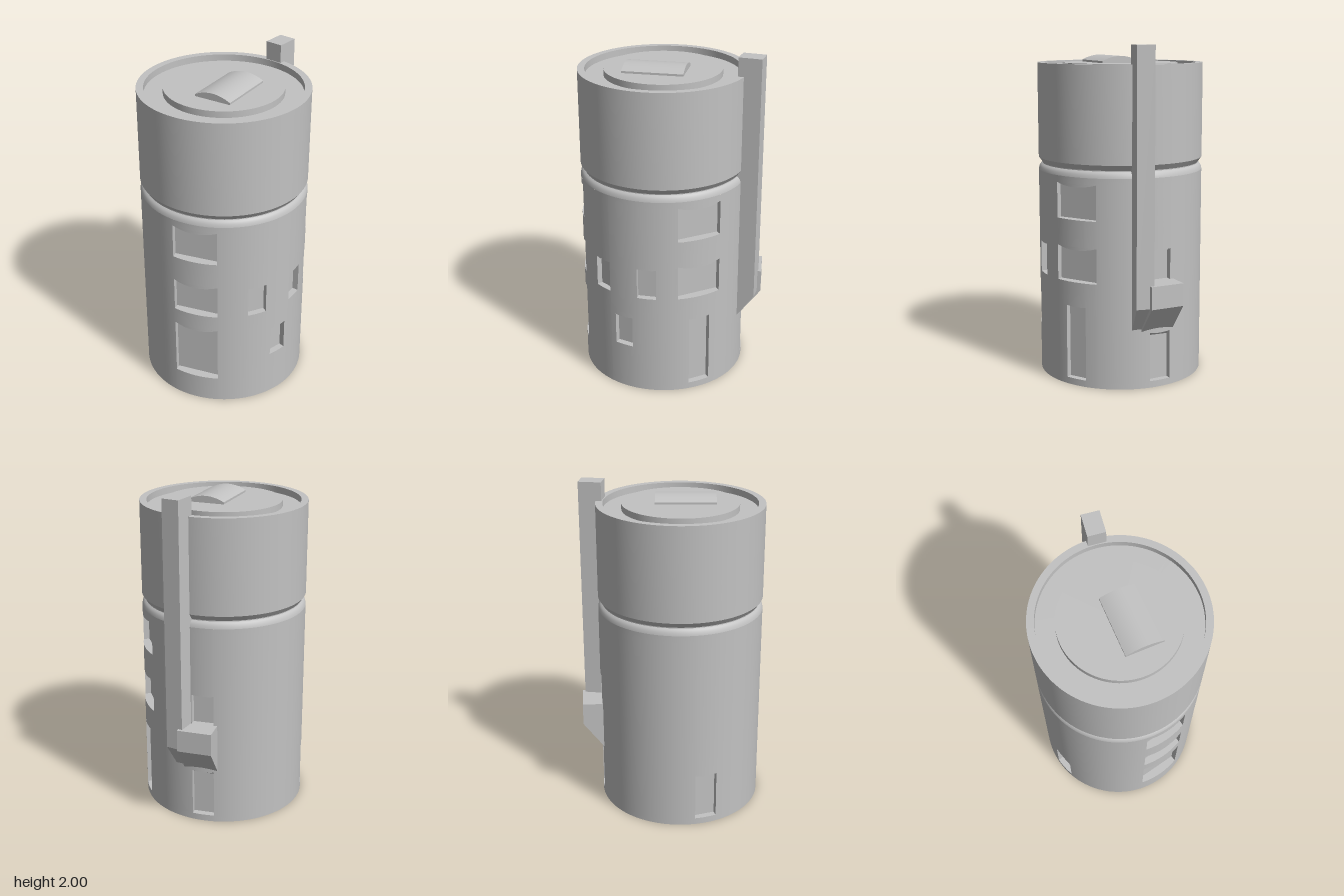
import * as THREE from 'three';
import { toCreasedNormals } from 'three/addons/utils/BufferGeometryUtils.js';

const R = 0.497, SHOULDER = 1.25, DEPTH = 0.035;
const rad = THREE.MathUtils.degToRad;

// Recessed windows: [azimuth from front in degrees, width, bottom, top]
const WINDOWS = [
  [-13, 0.27, 1.0, 1.21], [-13, 0.27, 0.63, 0.84], [-13, 0.27, 0.165, 0.53],
  [102, 0.27, 1.0, 1.21], [102, 0.27, 0.63, 0.84], [102, 0.133, 0.04, 0.485],
  [30.4, 0.115, 0.63, 0.82], [65, 0.115, 0.63, 0.82], [48, 0.115, 0.29, 0.485],
  [162, 0.133, 0.63, 0.83], [162, 0.133, 0.04, 0.335], [-96, 0.133, 0.04, 0.335],
].map(([deg, width, y0, y1]) => ({ az: rad(deg), width, y0, y1, half: Math.asin(width / 2 / R) }));

// Collects quads (corners anticlockwise from the front) into one geometry
function quadGeometry(build) {
  const p = [];
  build((a, b, c, d) => p.push(...a, ...b, ...c, ...a, ...c, ...d));
  const geo = new THREE.BufferGeometry();
  geo.setAttribute('position', new THREE.Float32BufferAttribute(p, 3));
  return toCreasedNormals(geo, 0.5);
}

const sortedUnique = (list) => list.sort((a, b) => a - b).filter((v, i, l) => i === 0 || v - l[i - 1] > 1e-5);

// Cylinder wall with openings left out
function wallGeometry() {
  const az = [], ys = [0, SHOULDER];
  for (let i = 0; i <= 96; i++) az.push(-Math.PI + (i / 96) * Math.PI * 2);
  for (const w of WINDOWS) {
    az.push(w.az - w.half, w.az + w.half);
    ys.push(w.y0, w.y1);
  }
  const A = sortedUnique(az), Y = sortedUnique(ys);
  const pt = (a, y) => [R * Math.sin(a), y, R * Math.cos(a)];
  return quadGeometry((quad) => {
    for (let i = 0; i < A.length - 1; i++) {
      for (let j = 0; j < Y.length - 1; j++) {
        const a = (A[i] + A[i + 1]) / 2, y = (Y[j] + Y[j + 1]) / 2;
        if (WINDOWS.some((w) => Math.abs(a - w.az) < w.half && y > w.y0 && y < w.y1)) continue;
        quad(pt(A[i], Y[j]), pt(A[i + 1], Y[j]), pt(A[i + 1], Y[j + 1]), pt(A[i], Y[j + 1]));
      }
    }
  });
}

// Flat-backed pocket with square sides and a head that slopes down outwards
function recessGeometry({ az, width, y0, y1, half }) {
  const h = width / 2, edge = R * Math.cos(half), back = edge - DEPTH, head = y1 + DEPTH, n = 8;
  const geo = quadGeometry((quad) => {
    quad([-h, y0, back], [h, y0, back], [h, head, back], [-h, head, back]);
    quad([-h, y0, edge], [-h, y0, back], [-h, y1, back], [-h, y1, edge]);
    quad([h, y0, back], [h, y0, edge], [h, y1, edge], [h, y1, back]);
    // Small triangles closing the sides under the sloped head
    quad([-h, y1, edge], [-h, y1, back], [-h, head, back], [-h, y1, edge]);
    quad([h, y1, back], [h, y1, edge], [h, y1, edge], [h, head, back]);
    for (let i = 0; i < n; i++) {
      const a = -half + (2 * half * i) / n, b = a + (2 * half) / n;
      const [xa, za, xb, zb] = [R * Math.sin(a), R * Math.cos(a), R * Math.sin(b), R * Math.cos(b)];
      const ya = y1 - (za - edge), yb = y1 - (zb - edge);
      quad([xa, y0, za], [xb, y0, zb], [xb, y0, back], [xa, y0, back]); // sill
      quad([xa, head, back], [xb, head, back], [xb, yb, zb], [xa, ya, za]); // head
      quad([xa, ya, za], [xb, yb, zb], [xb, y1, zb], [xa, y1, za]); // lintel
    }
  });
  return geo.rotateY(az);
}

// Radial profile [radius, y] given thickness and turned to an azimuth
function radialSlab(profile, width, deg) {
  const shape = new THREE.Shape(profile.map(([r, y]) => new THREE.Vector2(r, y)));
  return new THREE.ExtrudeGeometry(shape, { depth: width, bevelEnabled: false })
    .translate(0, 0, -width / 2)
    .rotateY(rad(deg - 90));
}

export function createModel() {
  const group = new THREE.Group();
  const body = new THREE.Group();
  body.name = 'body';
  body.position.z = 0.055;
  group.add(body);

  const grey = new THREE.MeshStandardMaterial({ color: 0xc2c2c2 });
  grey.name = 'light grey';
  const add = (name, geo) => {
    const mesh = new THREE.Mesh(geo, grey);
    mesh.name = name;
    body.add(mesh);
    return mesh;
  };

  add('lowerWall', wallGeometry());
  WINDOWS.forEach((w) => add('windowRecess', recessGeometry(w)));
  add('base', new THREE.CircleGeometry(R, 96).rotateX(Math.PI / 2));

  // Grooved neck, upper drum, rim, ring channel and centre disc
  const profile = [
    [R, SHOULDER], [0.493, 1.268], [0.484, 1.281], [0.474, 1.288], [0.474, 1.293], [R, 1.325],
    [R, 1.89], [0.455, 1.89], [0.455, 1.85], [0.346, 1.85], [0.346, 1.888], [0, 1.888],
  ].map(([r, y]) => new THREE.Vector2(r, y));
  add('upperDrum', toCreasedNormals(new THREE.LatheGeometry(profile, 96), 0.5));

  // Arched block on the lid
  const arch = new THREE.Shape();
  arch.moveTo(-0.113, 1.88);
  arch.lineTo(0.113, 1.88);
  arch.lineTo(0.113, 1.9);
  arch.quadraticCurveTo(0, 1.958, -0.113, 1.9);
  const block = new THREE.ExtrudeGeometry(arch, { depth: 0.358, bevelEnabled: false, curveSegments: 16 });
  block.translate(0, 0, -0.179).rotateY(rad(-24.8)).translate(0.0375, 0, 0.05);
  add('lidBlock', toCreasedNormals(block, 0.5));

  // Tall post and bracket on the back
  add('post', radialSlab([[0.46, 0.31], [0.597, 0.51], [0.597, 2], [0.46, 2]], 0.105, 147.7));
  add('bracket', radialSlab([[0.45, 0.3], [0.611, 0.51], [0.611, 0.645], [0.45, 0.645]], 0.207, 160.2));

  return group;
}
